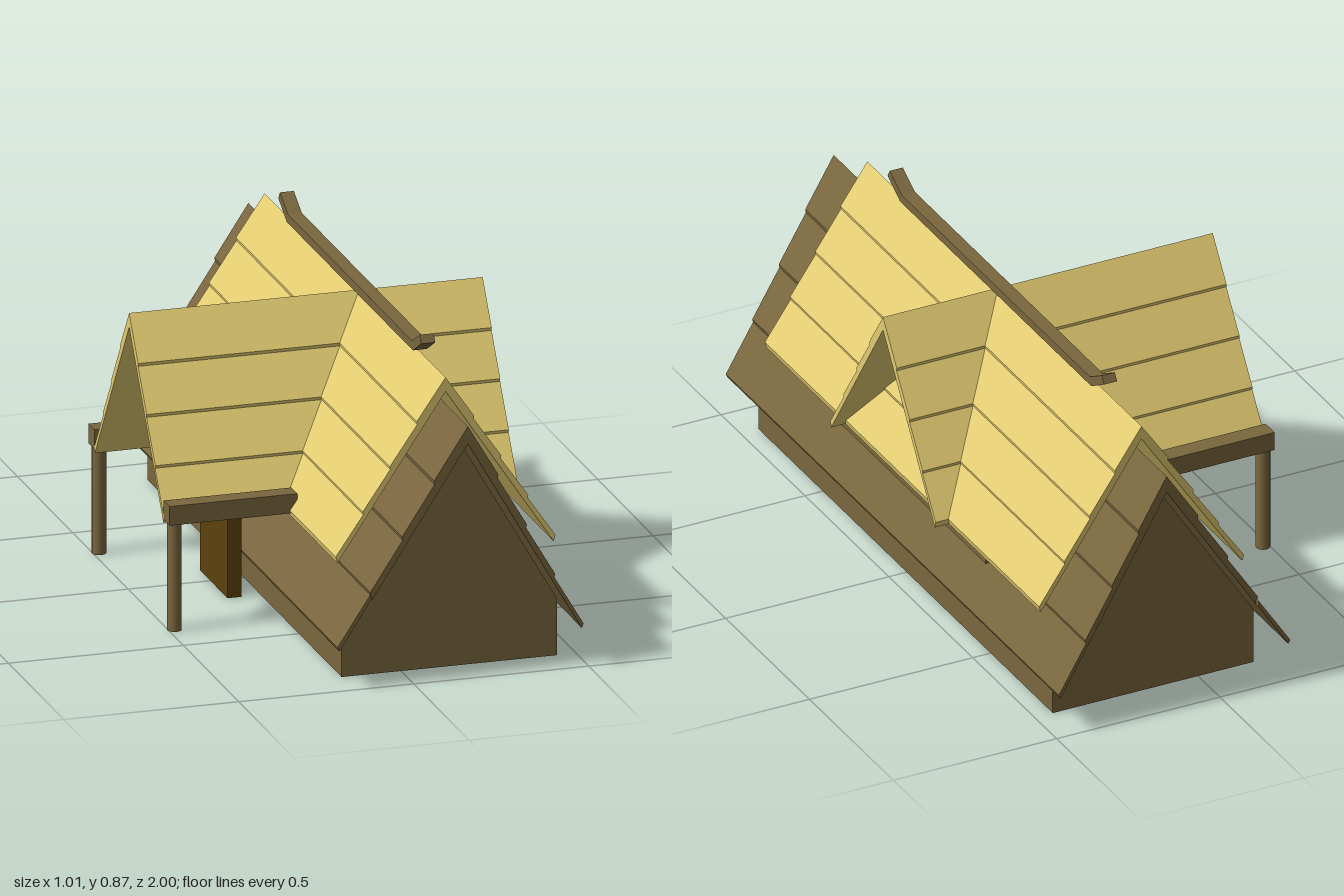
import * as THREE from 'three';

const mat = (name, color) => {
  const m = new THREE.MeshStandardMaterial({ color });
  m.name = name;
  return m;
};

export function createModel() {
  const group = new THREE.Group();
  group.name = 'longhouse';
  const straw = mat('straw', 0xe3cc72);
  const wood = mat('brown wood', 0x7a673f);
  const doorWood = mat('dark door wood', 0x5c420d);
  const ridgeX = 0.155, crossZ = 0.025;

  const add = (name, geo, material, parent = group) => {
    const mesh = new THREE.Mesh(geo, material);
    mesh.name = name;
    parent.add(mesh);
    return mesh;
  };
  const box = (name, material, x0, x1, y0, y1, z0, z1) => {
    const g = new THREE.BoxGeometry(x1 - x0, y1 - y0, z1 - z0);
    return add(name, g.translate((x0 + x1) / 2, (y0 + y1) / 2, (z0 + z1) / 2), material);
  };
  // Outline in the x-y plane, drawn out along z from z0 to z1
  const prism = (points, z0, z1) => {
    const shape = new THREE.Shape(points.map(p => new THREE.Vector2(p[0], p[1])));
    return new THREE.ExtrudeGeometry(shape, { depth: z1 - z0, bevelEnabled: false }).translate(0, 0, z0);
  };

  // One roof slope of overlapping courses; each lower edge stands proud of the next
  function slope(parent, name, material, o) {
    const { top, eave, thickTop, thickEave, z0, z1, lift } = o;
    const n = 4, side = Math.sign(eave[0] - top[0]);
    const at = t => [top[0] + (eave[0] - top[0]) * t, top[1] + (eave[1] - top[1]) * t];
    const under = t => {
      const p = at(t);
      return [p[0], p[1] - thickTop + (thickTop - thickEave) * t];
    };
    for (let i = 0; i < n; i++) {
      const t0 = i / n, t1 = (i + 1) / n, low = at(t1);
      const raised = [low[0] + side * lift * 0.8, low[1] + lift * 0.55];
      const [a, b] = i === n - 1 && o.lastZ ? o.lastZ : [z0, z1];
      add(name + 'Course', prism([at(t0), raised, under(t1), under(t0)], a, b), material, parent);
    }
  }

  // Lower walls with gables, and the raised middle storey
  add('walls', prism([[-0.17, 0], [0.445, 0], [0.445, 0.165], [ridgeX, 0.665], [-0.17, 0.165]],
    -0.87, 0.885), wood);
  add('upperStorey', prism([[-0.115, 0.24], [0.425, 0.24], [0.425, 0.36], [ridgeX, 0.75], [-0.115, 0.36]],
    -0.43, 0.435), wood);

  // Lower wooden roof, with a slightly offset eave course on one side
  const lower = new THREE.Group();
  lower.name = 'lowerRoof';
  group.add(lower);
  const lowerOpts = { top: [ridgeX, 0.725], thickTop: 0.05, thickEave: 0.008, lift: 0.007, z0: -0.985, z1: 1 };
  slope(lower, 'lowerRoof', wood, { ...lowerOpts, eave: [-0.21, 0.12], lastZ: [-1, 0.993] });
  slope(lower, 'lowerRoof', wood, { ...lowerOpts, eave: [0.48, 0.12] });

  // Straw roofs: the long one and the one crossing it
  const strawRoof = (name, z0, z1) => {
    const g = new THREE.Group();
    g.name = name;
    group.add(g);
    for (const s of [-1, 1]) {
      slope(g, name, straw, {
        top: [0, 0.803], eave: [s * 0.309, 0.315], thickTop: 0.04, thickEave: 0.015, lift: 0.006, z0, z1,
      });
    }
    return g;
  };
  strawRoof('mainStrawRoof', -0.83, 0.805).position.x = 0.1525;
  const cross = strawRoof('crossStrawRoof', -0.505, 0.505);
  cross.rotation.y = Math.PI / 2;
  cross.position.z = crossZ;

  // Ridge pole with upturned ends, outlined lengthwise then turned along z
  const pole = prism([
    [-0.57, 0.805], [0.57, 0.805], [0.645, 0.848], [0.632, 0.87], [0.56, 0.83],
    [-0.56, 0.83], [-0.632, 0.87], [-0.645, 0.848],
  ], -0.02, 0.02).rotateY(Math.PI / 2).translate(ridgeX, 0, -0.005);
  add('ridgePole', pole, wood);

  // Porch beams and posts on both sides of the entrance
  for (const z of [crossZ - 0.342, crossZ + 0.34]) {
    box('porchBeam', wood, -0.505, -0.14, 0.31, 0.365, z - 0.027, z + 0.027);
    const post = new THREE.CylinderGeometry(0.02, 0.02, 0.31, 16);
    add('porchPost', post.translate(-0.483, 0.155, z), wood);
  }

  // Door under the porch
  box('door', doorWood, -0.265, -0.225, 0, 0.285, -0.095, 0.155);

  return group;
}
